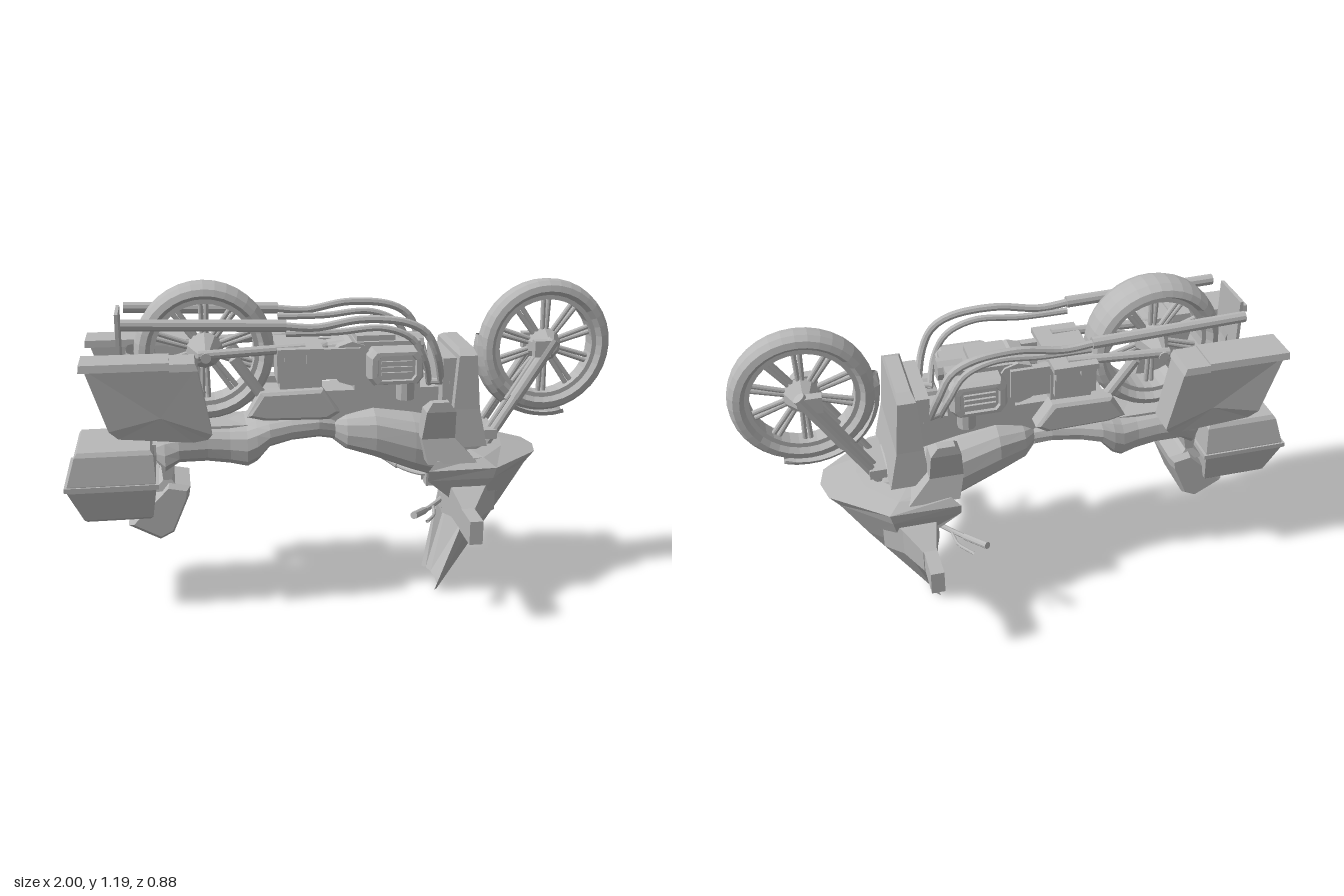
import * as THREE from 'three';

const V = (p) => new THREE.Vector3(p[0], p[1], p[2]);

export function createModel() {
  const grey = new THREE.MeshStandardMaterial({ color: 0xb8b8b8, flatShading: true, side: THREE.DoubleSide });
  grey.name = 'grey';
  const model = new THREE.Group();
  model.name = 'overturnedMotorcycle';
  const bike = new THREE.Group();
  bike.name = 'motorcycle';
  bike.rotation.set(0.016, -0.045, 0);
  bike.position.z = -0.022;
  model.add(bike);

  const add = (name, geo, parent = bike) => {
    const m = new THREE.Mesh(geo, grey);
    m.name = name;
    parent.add(m);
    return m;
  };
  const box = (name, x0, x1, y0, y1, z0, z1) => {
    const g = new THREE.BoxGeometry(x1 - x0, y1 - y0, Math.abs(z1 - z0));
    return add(name, g.translate((x0 + x1) / 2, (y0 + y1) / 2, (z0 + z1) / 2));
  };
  const rod = (name, a, b, r, r2 = r, parent = bike) => {
    const d = V(b).sub(V(a));
    const m = add(name, new THREE.CylinderGeometry(r2, r, d.length(), 10), parent);
    m.position.copy(V(a)).addScaledVector(d, 0.5);
    m.quaternion.setFromUnitVectors(new THREE.Vector3(0, 1, 0), d.normalize());
    return m;
  };
  const tube = (name, pts, r, n = 28) =>
    add(name, new THREE.TubeGeometry(new THREE.CatmullRomCurve3(pts.map(V)), n, r, 8));

  // Skin over a list of rings, optionally closed around and capped at the ends
  const loft = (name, rings, closed = true, caps = true) => {
    const pos = [], n = rings[0].length;
    const tri = (...p) => p.forEach((q) => pos.push(...q));
    for (let i = 0; i + 1 < rings.length; i++) {
      for (let j = 0; j < (closed ? n : n - 1); j++) {
        const k = (j + 1) % n;
        tri(rings[i][j], rings[i + 1][j], rings[i + 1][k]);
        tri(rings[i][j], rings[i + 1][k], rings[i][k]);
      }
    }
    if (caps) [rings[0], rings[rings.length - 1]].forEach((r, e) => {
      const c = [0, 1, 2].map((a) => r.reduce((s, p) => s + p[a], 0) / n);
      for (let j = 0; j < n; j++) {
        const k = (j + 1) % n;
        if (e) tri(c, r[j], r[k]); else tri(c, r[k], r[j]);
      }
    });
    const g = new THREE.BufferGeometry();
    g.setAttribute('position', new THREE.Float32BufferAttribute(pos, 3));
    g.computeVertexNormals();
    return add(name, g);
  };
  // Stacked rectangles: [y, x0, x1, z0, z1]
  const stack = (name, levels, s = 1) => loft(name, levels.map(([y, x0, x1, z0, z1]) =>
    [[x0, y, z0 * s], [x0, y, z1 * s], [x1, y, z1 * s], [x1, y, z0 * s]]));
  // Rounded body along x: [x, yLow, yHigh, halfWidth]
  const hull = (name, stations) => loft(name, stations.map(([x, lo, hi, w]) =>
    Array.from({ length: 16 }, (_, i) => {
      const a = (i / 16) * Math.PI * 2;
      const f = (t) => Math.sign(t) * Math.abs(t) ** 0.7;
      return [x, (lo + hi) / 2 + f(Math.sin(a)) * (hi - lo) / 2, f(Math.cos(a)) * w];
    })));

  // Wheels: tyre, rim, paired spokes and conical hub
  const wheel = (name, x, y, r, w) => {
    const g = new THREE.Group();
    g.name = name;
    g.position.set(x, y, 0);
    bike.add(g);
    const prof = (pts) => new THREE.LatheGeometry(pts.map((p) => new THREE.Vector2(p[0], p[1])), 36).rotateX(Math.PI / 2);
    const h = w / 2, i = r - 0.058;
    add('tyre', prof([[i, -h * 0.6], [r - 0.04, -h], [r - 0.018, -h * 0.9], [r - 0.004, -h * 0.5], [r, 0],
      [r - 0.004, h * 0.5], [r - 0.018, h * 0.9], [r - 0.04, h], [i, h * 0.6], [i, -h * 0.6]]), g);
    add('rim', prof([[i + 0.005, -h * 0.65], [i - 0.014, -h * 0.65], [i - 0.014, h * 0.65], [i + 0.005, h * 0.65]]), g);
    for (let k = 0; k < 10; k++) {
      for (const d of [-0.055, 0.055]) {
        const a = (k / 10) * Math.PI * 2 + 0.31, b = a + d;
        rod('spoke', [Math.cos(a + d * 3) * 0.04, Math.sin(a + d * 3) * 0.04, 0],
          [Math.cos(b) * i, Math.sin(b) * i, 0], 0.009, 0.009, g);
      }
    }
    for (const s of [-1, 1]) rod('hub', [0, 0, 0], [0, 0, s * (h + 0.03)], 0.068, 0.02, g);
  };
  wheel('frontWheel', 0.75, 0.925, 0.248, 0.1);
  wheel('rearWheel', -0.495, 0.949, 0.246, 0.155);

  // Mudguards: arcs around a wheel, narrowing towards both ends
  const mudguard = (name, cx, cy, r, a0, sweep, w0, w1) => loft(name, Array.from({ length: 15 }, (_, i) => {
    const t = i / 14, a = a0 + t * sweep, w = w0 + w1 * Math.sin(Math.PI * t) ** 0.6;
    const lift = 0.02 * t ** 6;
    return [[-w, r - 0.024], [-w * 0.7, r - 0.006], [0, r], [w * 0.7, r - 0.006], [w, r - 0.024]].map(([z, q]) =>
      [cx + Math.cos(a) * (q + lift), cy + Math.sin(a) * (q + lift), z]);
  }), false, false);
  mudguard('frontMudguard', 0.75, 0.925, 0.264, 2.95, 2.1, 0.02, 0.04);
  mudguard('rearMudguard', -0.495, 0.949, 0.275, 3.1, 1.5, 0.08, 0.005);

  // Fairing and windscreen: half outlines from nose to rear edge, mirrored
  const shell = [
    [0.585, [0.5, 0], [0.49, 0.09], [0.44, 0.15], [0.36, 0.18]],
    [0.57, [0.6, 0], [0.58, 0.09], [0.48, 0.21], [0.3, 0.235]],
    [0.54, [0.73, 0], [0.71, 0.085], [0.52, 0.245], [0.27, 0.25]],
    [0.5, [0.70, 0], [0.675, 0.085], [0.51, 0.24], [0.27, 0.24]],
    [0.36, [0.607, 0], [0.585, 0.09], [0.48, 0.19], [0.43, 0.2]],
    [0.005, [0.365, 0], [0.362, 0.055], [0.352, 0.095], [0.338, 0.112]],
  ].map(([y, ...h]) => [...h.slice(1).reverse().map((p) => [p[0], y, -p[1]]), ...h.map((p) => [p[0], y, p[1]])]);
  loft('fairing', shell, false, false);
  loft('fairingTop', [shell[0].map(([, y, z]) => [0.36, y, z]), shell[0]], false, false);
  stack('dashboard', [[0.57, 0.3, 0.5, -0.17, 0.17], [0.42, 0.42, 0.55, -0.16, 0.16]]);

  // Tank and seat
  hull('tank', [[-0.06, 0.62, 0.69, 0.06], [0, 0.575, 0.715, 0.12], [0.1, 0.545, 0.735, 0.155],
    [0.24, 0.49, 0.715, 0.175], [0.36, 0.45, 0.69, 0.18], [0.47, 0.45, 0.66, 0.15], [0.52, 0.5, 0.6, 0.1]]);
  hull('seat', [[-0.04, 0.61, 0.7, 0.085], [-0.1, 0.625, 0.715, 0.105], [-0.2, 0.622, 0.715, 0.125],
    [-0.28, 0.605, 0.71, 0.145], [-0.325, 0.55, 0.705, 0.15], [-0.36, 0.53, 0.695, 0.148], [-0.42, 0.543, 0.69, 0.135],
    [-0.5, 0.555, 0.69, 0.13], [-0.6, 0.555, 0.685, 0.13], [-0.65, 0.515, 0.68, 0.115], [-0.68, 0.55, 0.64, 0.08]]);
  stack('seatTail', [[0.6, -0.67, -0.61, -0.09, 0.09], [0.5, -0.66, -0.63, -0.09, 0.09], [0.46, -0.7, -0.6, -0.1, 0.1]]);
  loft('backrest', [-1, -0.8, 0.8, 1].map((k) => {
    const e = Math.abs(k) === 1 ? 0.85 : 1;
    return [[-0.64, 0.49], [-0.565, 0.475], [-0.57, 0.44], [-0.63, 0.3], [-0.68, 0.275], [-0.79, 0.335], [-0.74, 0.39]]
      .map(([x, y]) => [-0.66 + (x + 0.66) * e, 0.39 + (y - 0.39) * e, k * 0.115]);
  }));

  // Top box
  stack('topBox', [[0.63, -0.95, -0.7, -0.135, 0.135], [0.615, -0.96, -0.69, -0.145, 0.145],
    [0.515, -0.99, -0.685, -0.16, 0.16], [0.49, -0.99, -0.685, -0.16, 0.16],
    [0.38, -0.94, -0.7, -0.135, 0.135], [0.37, -0.93, -0.71, -0.125, 0.125]]);
  stack('topBoxRim', [[0.512, -1, -0.675, -0.167, 0.167], [0.495, -1, -0.675, -0.167, 0.167]]);
  box('topBoxRack', -0.72, -0.64, 0.58, 0.62, -0.05, 0.05);

  // Rear plate and undertail
  box('rearPlate', -0.797, -0.785, 0.76, 1.1, -0.085, 0.085);
  box('undertail', -0.66, -0.25, 0.665, 0.69, -0.085, 0.085);

  // Central engine and frame masses
  box('gearbox', -0.24, -0.09, 0.82, 0.97, -0.105, 0.105);
  box('sumpPlate', -0.25, -0.09, 0.955, 0.975, -0.15, 0.15);
  rod('crankcase', [0.02, 0.9, -0.085], [0.02, 0.9, 0.085], 0.08);
  hull('driveHousing', [[-0.1, 0.85, 0.97, 0.07], [-0.06, 0.86, 0.97, 0.04], [0, 0.85, 0.98, 0.06]]);
  box('engineBlock', 0.03, 0.27, 0.8, 0.975, -0.075, 0.075);
  box('oilPan', 0.04, 0.18, 0.97, 0.995, -0.06, 0.06);
  rod('oilFilter', [0.2, 0.95, 0], [0.29, 0.95, 0], 0.04);
  box('frameSpine', -0.3, 0.42, 0.68, 0.8, -0.07, 0.07);
  stack('legShield', [[0.955, 0.4, 0.45, -0.12, 0.12], [0.935, 0.39, 0.455, -0.165, 0.165],
    [0.74, 0.375, 0.47, -0.168, 0.168], [0.6, 0.36, 0.5, -0.175, 0.175]]);
  box('radiator', 0.34, 0.39, 0.74, 0.92, -0.13, 0.13);
  box('forkBridge', 0.5, 0.56, 0.6, 0.635, -0.1, 0.1);
  rod('frontAxle', [0.757, 0.935, -0.085], [0.757, 0.935, 0.085], 0.018);
  rod('rearAxle', [-0.495, 0.949, -0.13], [-0.495, 0.949, 0.13], 0.018);

  // Paired parts
  for (const s of [1, -1]) {
    rod('forkLower', [0.765, 0.96, s * 0.073], [0.63, 0.745, s * 0.073], 0.022);
    rod('forkUpper', [0.63, 0.745, s * 0.073], [0.5, 0.54, s * 0.073], 0.018);
    rod('forkGuide', [0.74, 0.95, s * 0.05], [0.52, 0.6, s * 0.048], 0.011);
    box('brakeCaliper', 0.69, 0.75, 0.9, 0.96, s * 0.055, s * 0.09);

    // Panniers with sloping base and overhanging lid
    const side = [[-0.9, 0.955], [-0.53, 0.945], [-0.485, 0.705], [-0.5, 0.685], [-0.55, 0.675], [-0.8, 0.703], [-0.83, 0.735]];
    loft('pannier', [side.map(([x, y]) => [x, y, s * 0.115]),
      side.map(([x, y]) => [x, y, s * (0.242 - Math.max(0, 0.74 - y) * 0.5)])]);
    stack('pannierLid', [[0.968, -0.915, -0.62, 0.11, 0.245], [0.943, -0.917, -0.62, 0.108, 0.25]], s);
    stack('pannierLidFront', [[0.962, -0.62, -0.535, 0.11, 0.245], [0.937, -0.62, -0.525, 0.108, 0.25]], s);
    rod('pannierBracket', [-0.6, 0.72, s * 0.07], [-0.6, 0.72, s * 0.15], 0.015);

    // Exhaust, frame rail and crash bar
    rod('muffler', [-0.775, 1.078, s * 0.145], [-0.22, 1.06, s * 0.15], 0.02, 0.021);
    tube('exhaustPipe', [[-0.24, 1.06, s * 0.15], [-0.12, 1.05, s * 0.15], [0.04, 1.075, s * 0.155], [0.2, 1.06, s * 0.16],
      [0.27, 1.02, s * 0.16], [0.31, 0.94, s * 0.155], [0.34, 0.83, s * 0.11]], 0.014);
    tube('frameRail', [[-0.22, 1.03, s * 0.14], [-0.05, 1.03, s * 0.14], [0.12, 1.04, s * 0.145], [0.22, 1.0, s * 0.145],
      [0.27, 0.92, s * 0.14], [0.3, 0.82, s * 0.09]], 0.012);
    rod('crashBar', [0.29, 0.83, s * 0.09], [0.37, 0.83, s * 0.12], 0.012);
    rod('swingArm', [-0.52, 0.955, s * 0.11], [-0.15, 0.97, s * 0.1], 0.017);
    rod('shockAbsorber', [-0.4, 0.94, s * 0.1], [-0.26, 0.74, s * 0.09], 0.02);

    // Side engine covers
    loft('cylinderHead', [[0.07, 1], [0.125, 1], [0.15, 0.88], [0.151, 0.7], [0.14, 0.66]].map(([z, k]) =>
      [[-0.1, -0.04], [-0.08, -0.065], [0.08, -0.065], [0.1, -0.04], [0.1, 0.04], [0.08, 0.065], [-0.08, 0.065], [-0.1, 0.04]]
        .map(([x, y]) => [0.17 + x * k, 0.895 + y * k, s * z])));
    for (const y of [0.875, 0.895, 0.915]) box('coolingFin', 0.115, 0.225, y - 0.005, y + 0.005, s * 0.135, s * 0.15);
    rod('throttleBody', [0.21, 0.84, s * 0.1], [0.21, 0.77, s * 0.1], 0.033);
    box('sideCover', -0.25, -0.1, 0.85, 0.955, s * 0.1, s * 0.125);
    box('crankCover', -0.09, 0.05, 0.85, 0.96, s * 0.07, s * 0.1);
    box('coverBolt', -0.225, -0.19, 0.93, 0.96, s * 0.125, s * 0.14);
    box('coverBolt', -0.15, -0.1, 0.92, 0.96, s * 0.125, s * 0.14);
    loft('sidePanel', [0.08, 0.135, 0.145].map((z, i) => [[-0.36, 0.735], [-0.31, 0.82], [-0.09, 0.825], [-0.03, 0.74], [-0.07, 0.715], [-0.3, 0.72]]
      .map(([x, y]) => [-0.19 + (x + 0.19) * (i > 1 ? 0.9 : 1), 0.77 + (y - 0.77) * (i > 1 ? 0.8 : 1), s * z])));

    // Knee shields beside the tank
    stack('kneeShield', [[0.79, 0.28, 0.34, 0.205, 0.24], [0.755, 0.26, 0.365, 0.165, 0.24],
      [0.65, 0.25, 0.37, 0.14, 0.215], [0.56, 0.27, 0.45, 0.13, 0.235]], s);

    // Mirror on its tapering wing
    loft('mirrorArm', [[0.17, 0.34, 0.54, 0.35, 0.5], [0.24, 0.36, 0.48, 0.36, 0.465], [0.32, 0.378, 0.425, 0.335, 0.42]]
      .map(([z, x0, x1, y0, y1]) => [[x0, y0, s * z], [x1, y0, s * z], [x1, y1, s * z], [x0, y1, s * z]]));
    box('mirror', 0.375, 0.422, 0.335, 0.42, s * 0.31, s * 0.44);

    // Handlebar, grip and lever
    tube('handlebar', [[0.42, 0.43, s * 0.07], [0.35, 0.39, s * 0.13], [0.29, 0.385, s * 0.2], [0.24, 0.395, s * 0.27]], 0.009);
    rod('grip', [0.26, 0.39, s * 0.24], [0.2, 0.413, s * 0.335], 0.013);
    tube('lever', [[0.3, 0.39, s * 0.21], [0.29, 0.38, s * 0.26], [0.25, 0.385, s * 0.33]], 0.006, 10);
    box('switchBlock', 0.345, 0.39, 0.35, 0.415, s * 0.1, s * 0.15);
  }
  return model;
}
